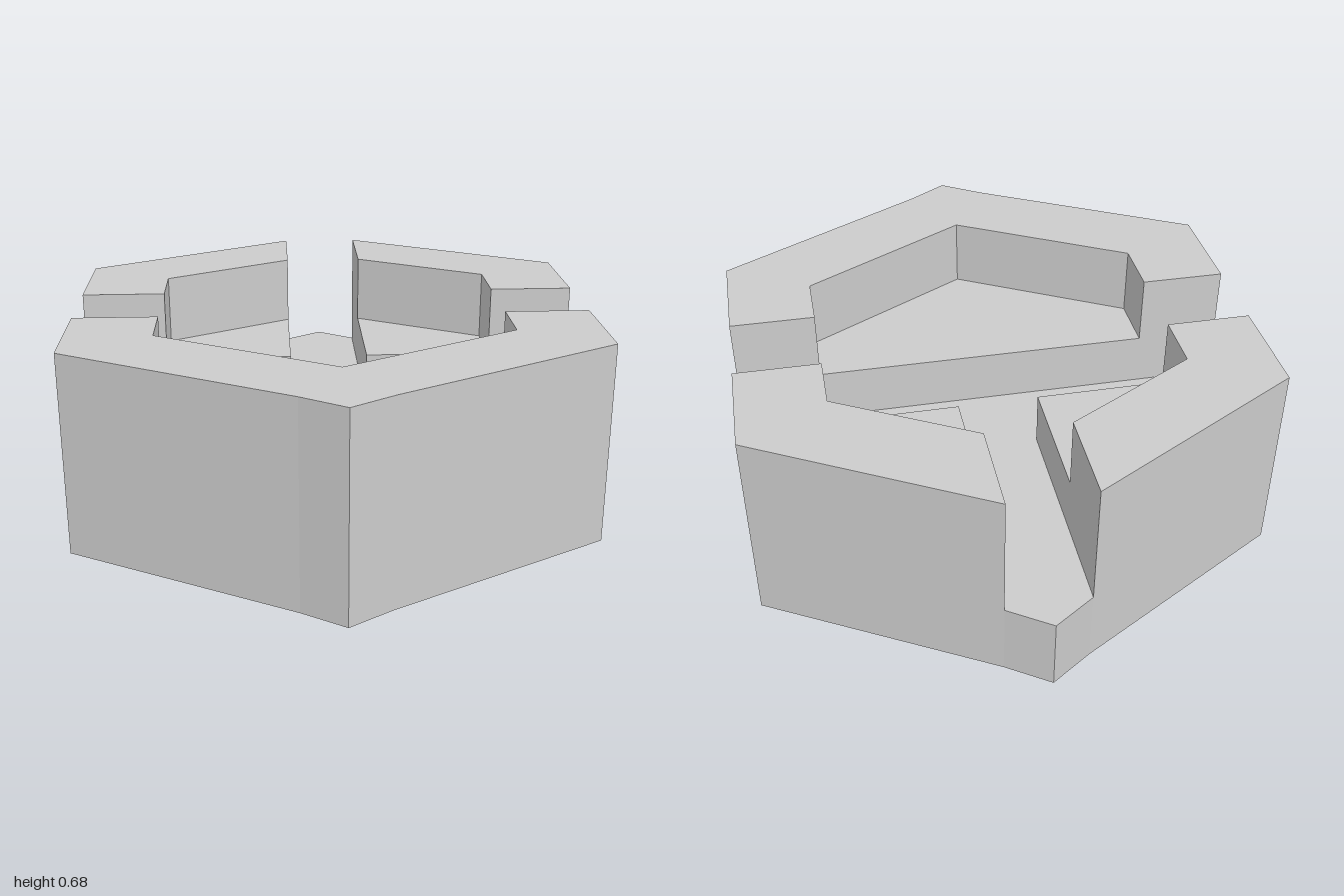
import * as THREE from 'three';
import { mergeGeometries } from 'three/addons/utils/BufferGeometryUtils.js';

const SLOT = 0.255, POCKET = 0.44, TOP = 0.68; // floor heights
const S = 0.137;                               // half width of the slots

// Horizontal face from [x, z] corners
function flat(points, y, down = false) {
  const shape = new THREE.Shape(points.map(([x, z]) => new THREE.Vector2(x, down ? z : -z)));
  return new THREE.ShapeGeometry(shape).rotateX(down ? Math.PI / 2 : -Math.PI / 2).translate(0, y, 0);
}

// Upright faces along a path of [x, z] points
function walls(path, y0, y1) {
  return mergeGeometries(path.slice(1).map(([bx, bz], i) => {
    const [ax, az] = path[i];
    const length = Math.hypot(bx - ax, bz - az);
    return new THREE.PlaneGeometry(length, y1 - y0)
      .rotateY(Math.atan2(az - bz, bx - ax))
      .translate((ax + bx) / 2, (y0 + y1) / 2, (az + bz) / 2);
  }));
}

const mirror = (path) => path.map(([x, z]) => [-x, z]).reverse();

export function createModel() {
  const model = new THREE.Group();
  const material = new THREE.MeshStandardMaterial({ color: 0xcccccc, flatShading: true });
  const add = (name, parent, ...parts) => {
    const mesh = new THREE.Mesh(mergeGeometries(parts), material);
    mesh.name = name;
    parent.add(mesh);
  };

  // Hexagonal base
  const half = [[0, 1], [S, 0.91], [0.865, 0.5], [0.865, -0.5], [S, -0.91], [0, -1]];
  const hexagon = [...half, ...mirror(half).slice(1)];
  add('base', model, flat(hexagon, 0, true), walls(hexagon, 0, SLOT));

  // T-shaped slot floor
  const slotHalf = [[0.865, S], [0.865, -S], [S, -S], [S, -0.91], [0, -1]];
  add('slotFloor', model, flat([...slotHalf, ...mirror(slotHalf).slice(1)], SLOT));

  // Three raised sections, each with an outer wall, a pocket and faces along the slot
  const frontOuter = [[0.865, S], [0.865, 0.5], [S, 0.91], [0, 1]].reverse();
  const frontInner = [[0.58, S], [0.58, 0.34], [0, 0.67]];
  const backOuter = [[0.865, -S], [0.865, -0.5], [S, -0.91]];
  const backInner = [[S, -0.59], [0.58, -0.34], [0.58, -S]];
  const backSlot = [[S, -0.91], [S, -S], [0.865, -S]];
  const sections = [
    ['frontSection',
      [...mirror(frontOuter), ...frontOuter.slice(1)],
      [...frontInner, ...mirror(frontInner).slice(1)],
      [[0.865, S], [-0.865, S]]],
    ['backLeftSection', backOuter, backInner, backSlot],
    ['backRightSection', mirror(backOuter), mirror(backInner), mirror(backSlot)],
  ];
  for (const [name, outer, inner, slot] of sections) {
    const group = new THREE.Group();
    group.name = name;
    model.add(group);
    const last = outer[outer.length - 1];
    // The inner path seen from the pocket, closed with the rim ends at the slots
    add('outerWall', group, walls(outer, SLOT, TOP));
    add('rim', group, flat([...outer, ...inner], TOP), walls([last, ...inner, outer[0]], POCKET, TOP));
    const pocket = name === 'frontSection' ? inner : [...inner, [Math.sign(last[0] + outer[0][0]) * S, -S]];
    add('pocketFloor', group, flat(pocket, POCKET));
    add('slotWall', group, walls(slot, SLOT, POCKET));
  }
  return model;
}
